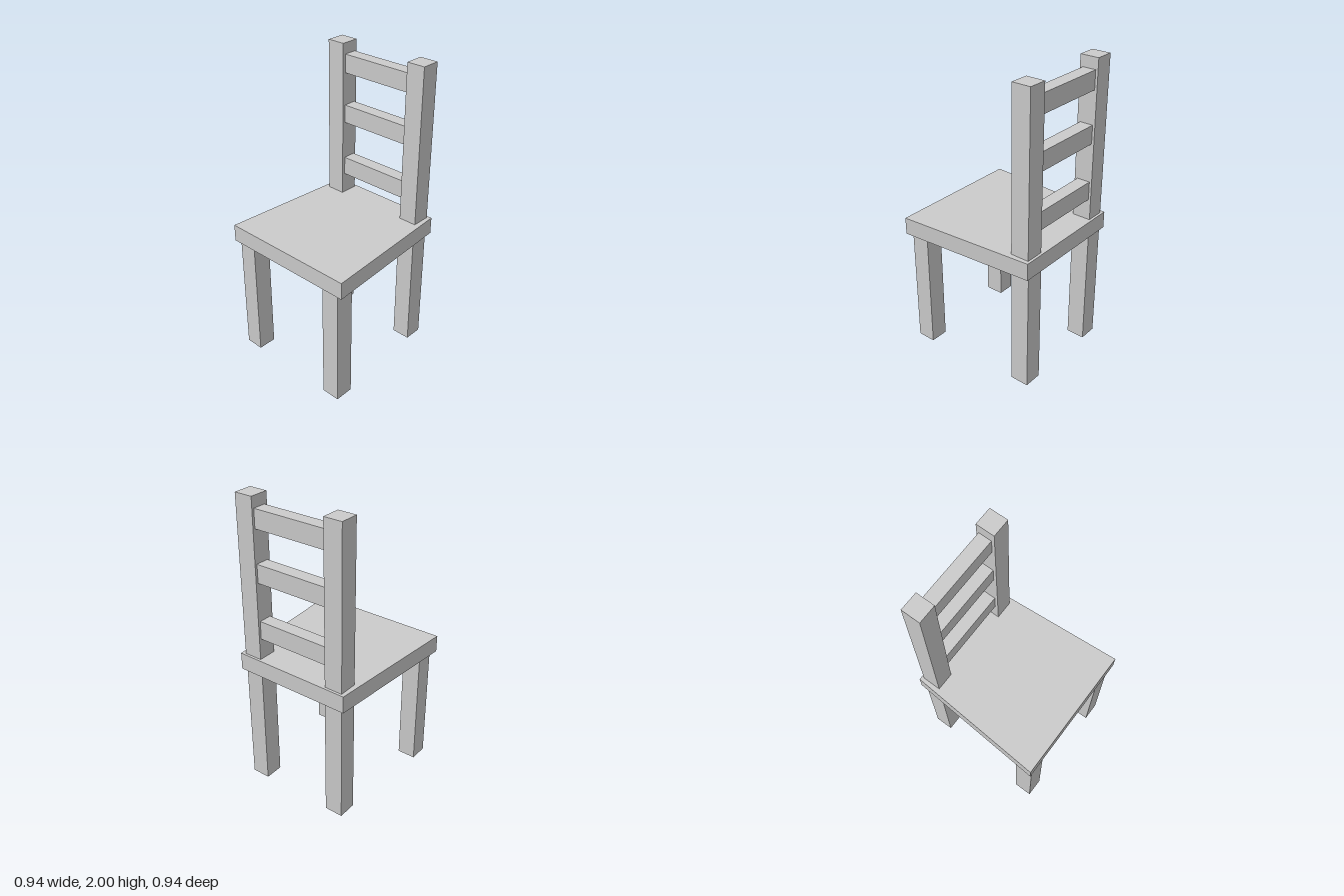
import * as THREE from 'three';

export function createModel() {
  const chair = new THREE.Group();
  chair.name = 'chair';
  const material = new THREE.MeshStandardMaterial({ color: 0xcccccc, flatShading: true });

  // Box given by its minimum and maximum on each axis
  function addBox(name, [x0, x1], [y0, y1], [z0, z1]) {
    const mesh = new THREE.Mesh(new THREE.BoxGeometry(x1 - x0, y1 - y0, z1 - z0), material);
    mesh.position.set((x0 + x1) / 2, (y0 + y1) / 2, (z0 + z1) / 2);
    mesh.name = name;
    chair.add(mesh);
    return mesh;
  }

  const seatBottom = 0.825, seatTop = 0.94;
  const backZ = [-0.453, -0.327], frontZ = [0.328, 0.454];

  // Seat: a slab that narrows towards the back
  const seat = addBox('seat', [-0.47, 0.47], [seatBottom, seatTop], [-0.47, 0.47]);
  const corners = seat.geometry.attributes.position;
  for (let i = 0; i < corners.count; i++) {
    if (corners.getZ(i) < 0) corners.setX(i, Math.sign(corners.getX(i)) * 0.404);
  }
  seat.geometry.computeVertexNormals();

  // Legs, a touch off centre
  addBox('frontLegLeft', [0.301, 0.425], [0, seatBottom], frontZ);
  addBox('frontLegRight', [-0.43, -0.306], [0, seatBottom], frontZ);
  addBox('backLegLeft', [0.248, 0.373], [0, seatBottom], backZ);
  addBox('backLegRight', [-0.38, -0.255], [0, seatBottom], backZ);

  // Back posts
  addBox('backPostLeft', [0.253, 0.378], [seatTop, 2], backZ);
  addBox('backPostRight', [-0.38, -0.256], [seatTop, 2], backZ);

  // Rails between the posts
  for (const y of [1.08, 1.46, 1.803]) {
    addBox('backRail', [-0.256, 0.253], [y, y + 0.123], [-0.437, -0.348]);
  }

  return chair;
}
